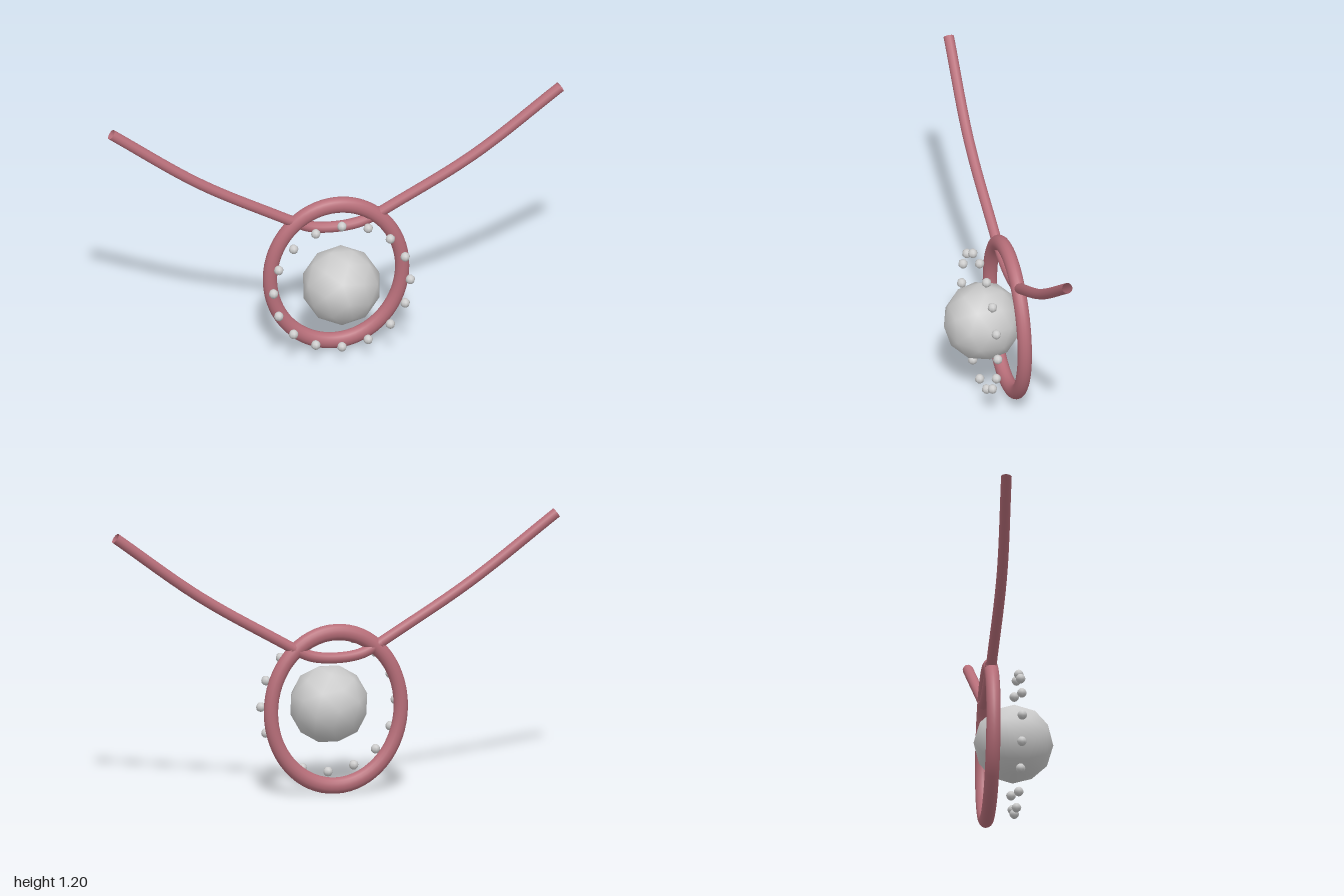
import * as THREE from 'three';

export function createModel() {
  const group = new THREE.Group();
  const rose = new THREE.MeshStandardMaterial({ color: 0xb76e79, side: THREE.DoubleSide });
  const grey = new THREE.MeshStandardMaterial({ color: 0xcccccc });
  const centerY = 0.375;

  const add = (name, geometry, material, x = 0, y = 0, z = 0) => {
    const mesh = new THREE.Mesh(geometry, material);
    mesh.name = name;
    mesh.position.set(x, y, z);
    group.add(mesh);
    return mesh;
  };

  const tube = (name, points, radius) => {
    const curve = new THREE.CatmullRomCurve3(points.map((p) => new THREE.Vector3(...p)));
    return add(name, new THREE.TubeGeometry(curve, 40, radius, 12, false), rose);
  };

  // Oval pendant frame
  add('pendantFrame', new THREE.TorusGeometry(0.29, 0.031, 16, 64), rose, 0, centerY, -0.11)
    .scale.y = 1.16;

  // Central stone
  add('centerStone', new THREE.IcosahedronGeometry(0.172, 1), grey, 0, centerY, 0)
    .rotation.z = Math.PI / 12;

  // Circle of small stones
  const count = 16;
  for (let i = 0; i < count; i++) {
    const a = (i / count) * Math.PI * 2;
    add('accentStone', new THREE.SphereGeometry(0.021, 8, 6), grey,
      0.3 * Math.cos(a), centerY + 0.3 * Math.sin(a), 0.013);
  }

  // Neck strands, mirrored left and right
  for (const [name, s] of [['leftStrand', 1], ['rightStrand', -1]]) {
    tube(name, [
      [s * 0.985, 1.18, -0.113],
      [s * 0.6, 0.895, -0.1],
      [s * 0.19, 0.65, -0.112],
    ], 0.023);
  }

  // Curved bail joining the strands through the frame
  tube('bail', [
    [-0.2, 0.655, -0.115],
    [-0.11, 0.613, -0.117],
    [0, 0.6, -0.117],
    [0.11, 0.613, -0.117],
    [0.2, 0.655, -0.115],
  ], 0.024);

  return group;
}
